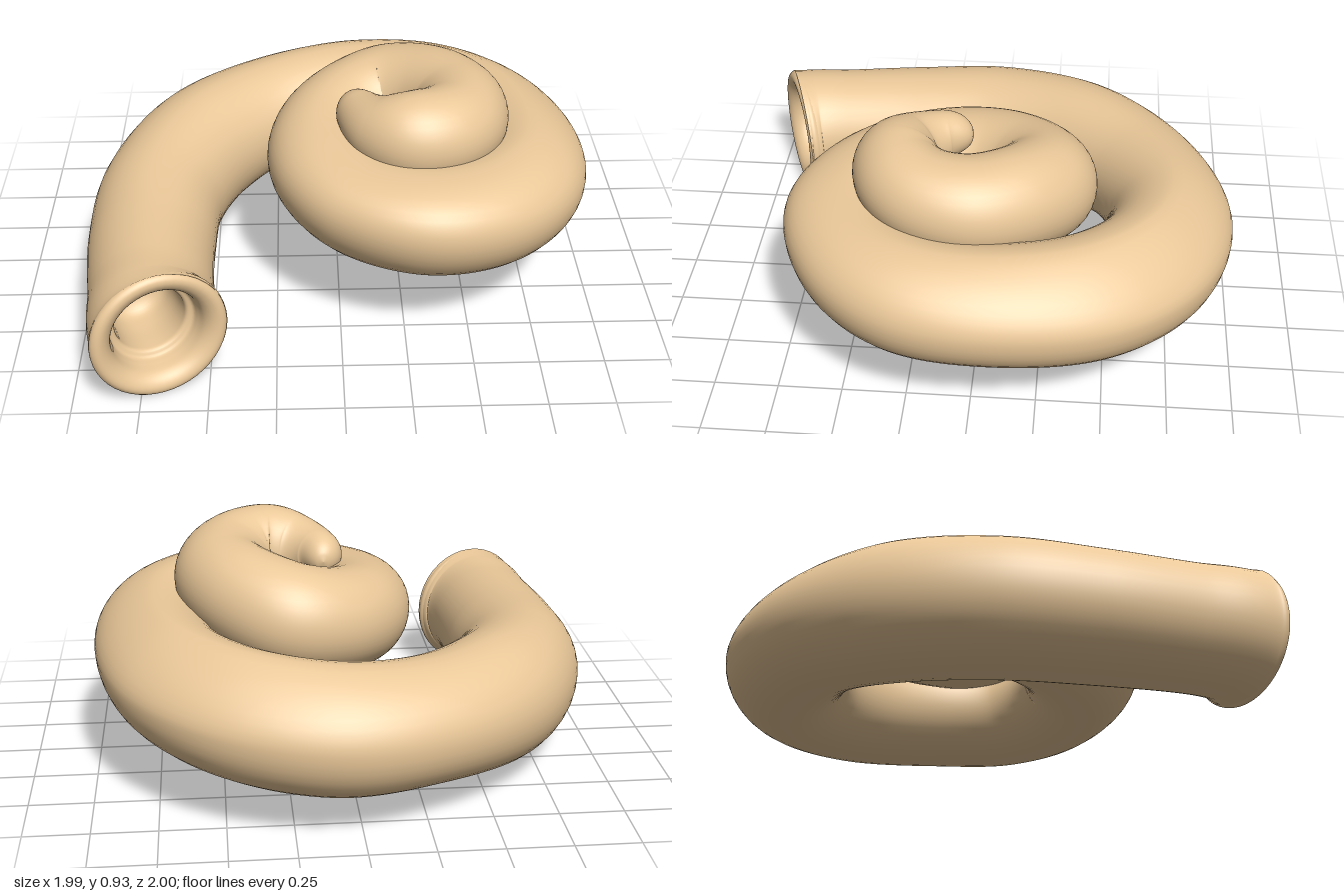
import * as THREE from 'three';

// Spiral path: x, y, z of the centre, then half width and half height
const PATH = [
  [-0.672, 0.267, 0.885, 0.260, 0.262],
  [-0.698, 0.27, 0.81, 0.244, 0.25],
  [-0.716, 0.273, 0.66, 0.237, 0.243],
  [-0.737, 0.28, 0.32, 0.25, 0.25],
  [-0.712, 0.30, -0.03, 0.256, 0.262],
  [-0.555, 0.335, -0.38, 0.256, 0.263],
  [-0.27, 0.365, -0.64, 0.25, 0.24],
  [0.08, 0.385, -0.75, 0.25, 0.248],
  [0.42, 0.42, -0.665, 0.245, 0.245],
  [0.66, 0.45, -0.42, 0.245, 0.235],
  [0.762, 0.475, -0.05, 0.237, 0.22],
  [0.72, 0.48, 0.24, 0.24, 0.22],
  [0.56, 0.485, 0.43, 0.245, 0.215],
  [0.33, 0.50, 0.51, 0.247, 0.208],
  [0.10, 0.51, 0.42, 0.237, 0.205],
  [-0.025, 0.53, 0.265, 0.225, 0.205],
  [-0.065, 0.55, 0.10, 0.215, 0.205],
  [-0.03, 0.575, -0.065, 0.21, 0.205],
  [0.075, 0.605, -0.19, 0.21, 0.205],
  [0.22, 0.64, -0.24, 0.21, 0.21],
  [0.385, 0.685, -0.14, 0.20, 0.205],
  [0.475, 0.71, 0.03, 0.197, 0.195],
  [0.455, 0.73, 0.19, 0.19, 0.185],
  [0.375, 0.745, 0.285, 0.182, 0.182],
  [0.27, 0.75, 0.31, 0.172, 0.178],
  [0.16, 0.75, 0.26, 0.138, 0.147],
  [0.085, 0.765, 0.15, 0.095, 0.10],
  [0.075, 0.765, 0.04, 0.08, 0.085],
];

// Smooth bump around one path point
const bump = (u, mid, width) => Math.exp(-(((u - mid) / width) ** 2));

// Sweeps an upright oval along the path, rounding off the far end
function sweep(path, rings, sides) {
  const centre = new THREE.CatmullRomCurve3(path.map(p => new THREE.Vector3(p[0], p[1], p[2])));
  const size = new THREE.CatmullRomCurve3(
    path.map(p => new THREE.Vector3(p[3], p[4], 0)), false, 'catmullrom');
  const up = new THREE.Vector3(0, 1, 0);
  const last = path.length - 1;
  const pos = [], index = [];
  for (let i = 0; i <= rings; i++) {
    const t = i / rings, u = t * last;
    const c = centre.getPoint(t), r = size.getPoint(t), T = centre.getTangent(t);
    const S = new THREE.Vector3().crossVectors(T, up).normalize();
    const N = new THREE.Vector3().crossVectors(S, T);
    const k = Math.max(0, u - last + 1);
    const taper = Math.sqrt(Math.max(0, 1 - k * k));
    // The outer shoulder slopes on the first turn, the outer edge lifts on the second
    const slope = 0.32 * bump(u, 8.5, 2.4), lift = 0.045 * bump(u, 13.5, 2.2);
    for (let j = 0; j < sides; j++) {
      const a = (j / sides) * Math.PI * 2;
      const outer = Math.max(0, -Math.cos(a));
      let h = Math.sin(a) * r.y;
      if (h > 0) h *= 1 - slope * outer;
      h += lift * outer * outer;
      const p = c.clone()
        .addScaledVector(S, Math.cos(a) * r.x * taper)
        .addScaledVector(N, h * taper);
      pos.push(p.x, p.y, p.z);
      if (i < rings) {
        const j2 = (j + 1) % sides, a0 = i * sides + j, a1 = i * sides + j2;
        index.push(a0, a0 + sides, a1, a1, a0 + sides, a1 + sides);
      }
    }
  }
  const g = new THREE.BufferGeometry();
  g.setAttribute('position', new THREE.Float32BufferAttribute(pos, 3));
  g.setIndex(index);
  g.computeVertexNormals();
  return g;
}

export function createModel() {
  const group = new THREE.Group();
  group.name = 'spiralTube';
  const material = new THREE.MeshStandardMaterial({ color: 0xeac899, side: THREE.DoubleSide });

  // Coiled body
  const body = new THREE.Mesh(sweep(PATH, 560, 40), material);
  body.name = 'coiledTube';
  group.add(body);

  // Rolled lip and hollow cup at the open end: radius, height along the axis
  const lip = [
    [0.256, -0.022], [0.262, -0.008], [0.258, 0.008], [0.243, 0.02], [0.222, 0.02], [0.198, 0.006],
    [0.18, -0.02], [0.17, -0.06], [0.162, -0.09], [0.14, -0.105], [0.135, -0.14], [0.13, -0.24],
    [0.115, -0.31], [0.065, -0.345], [0, -0.35],
  ].map(p => new THREE.Vector2(p[0], p[1]));
  const profile = new THREE.SplineCurve(lip).getPoints(70).map(p => new THREE.Vector2(Math.max(0, p.x), p.y));
  const mouth = new THREE.Mesh(new THREE.LatheGeometry(profile, 48), material);
  mouth.name = 'mouthRim';
  mouth.position.set(-0.67, 0.264, 0.885);
  mouth.quaternion.setFromUnitVectors(
    new THREE.Vector3(0, 1, 0), new THREE.Vector3(0.38, 0, 0.92).normalize());
  group.add(mouth);

  return group;
}
